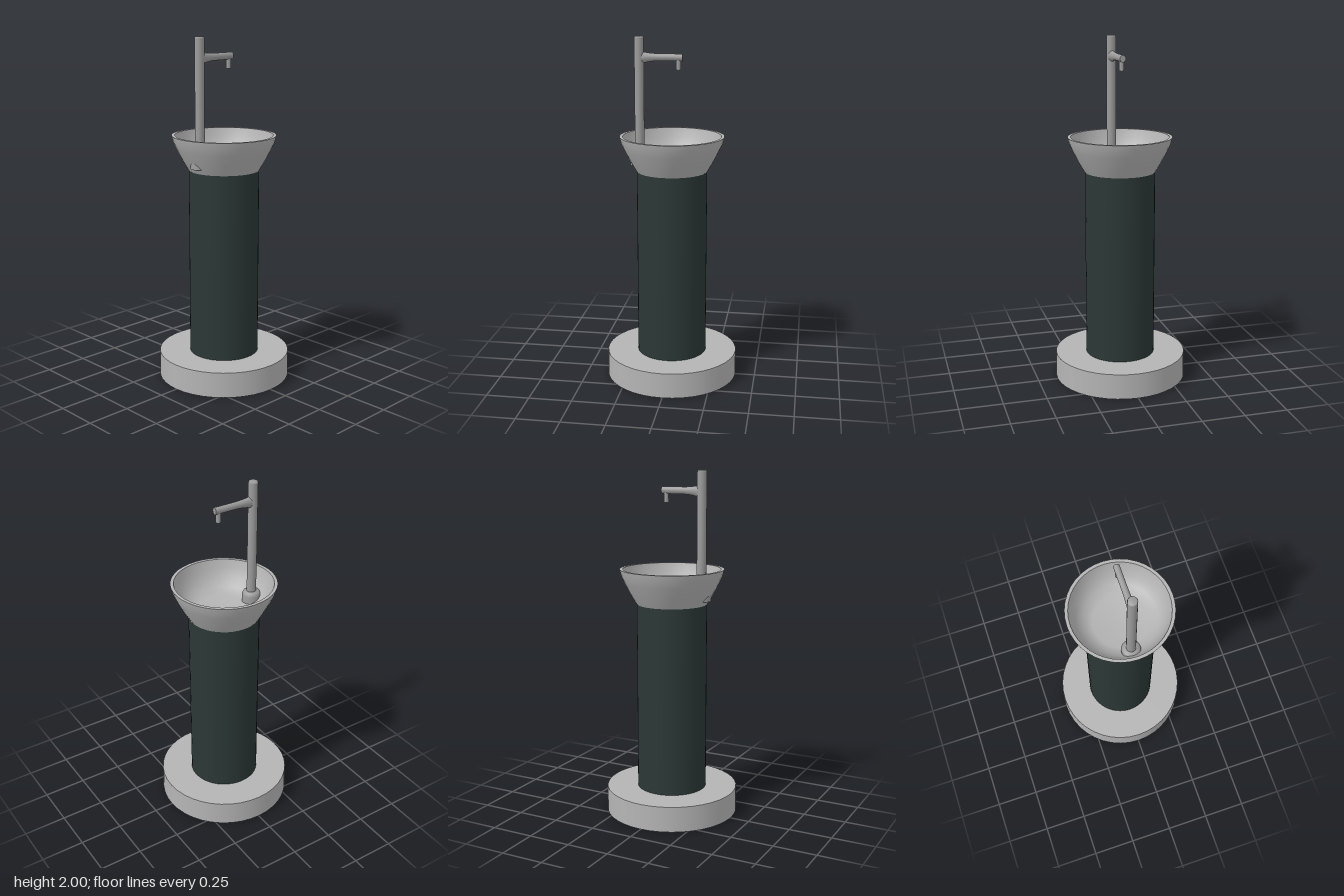
import * as THREE from 'three';

const mat = (name, color) => new THREE.MeshStandardMaterial({ name, color });

export function createModel() {
  const group = new THREE.Group();
  group.name = 'pedestalBasin';
  const stone = mat('pale grey stone', 0xb4b4b4);
  const green = mat('dark green', 0x2b3836);
  const metal = mat('grey metal', 0x9c9c9c);

  const add = (name, geometry, material, x = 0, y = 0, z = 0) => {
    const mesh = new THREE.Mesh(geometry, material);
    mesh.name = name;
    mesh.position.set(x, y, z);
    group.add(mesh);
    return mesh;
  };
  const lathe = (pts, segments) =>
    new THREE.LatheGeometry(pts.map(([r, y]) => new THREE.Vector2(r, y)), segments);

  // Base disc and column
  add('base', new THREE.CylinderGeometry(0.383, 0.385, 0.148, 40), stone, 0, 0.074);
  add('column', new THREE.CylinderGeometry(0.202, 0.202, 1.1, 40), green, 0, 0.695);

  // Basin: outer wall, flat rim, hollow interior
  add('basinOuter', lathe([[0, 1.242], [0.205, 1.242]], 40), stone).material.side = THREE.DoubleSide;
  add('basinWall', lathe([[0.205, 1.242], [0.239, 1.3], [0.272, 1.365], [0.29, 1.405], [0.3, 1.442]], 40), stone);
  add('basinRim', lathe([[0.3, 1.442], [0.281, 1.442]], 40), stone);
  add('basinInterior', lathe([[0.281, 1.442], [0.268, 1.395], [0.245, 1.345], [0.21, 1.3], [0.155, 1.272], [0, 1.268]], 40), stone);

  // Tap: collar, post, arm and nozzle
  const tapX = -0.187;
  add('tapCollar', lathe([[0.054, 1.27], [0.054, 1.315], [0.046, 1.332], [0.026, 1.337]], 24), metal, tapX);
  add('tapPost', lathe([[0.027, 1.27], [0.027, 1.99], [0.024, 2], [0, 2]], 24), metal, tapX);

  // Arm: a round bar stretched and lowered toward the post
  const arm = new THREE.CylinderGeometry(0.017, 0.017, 0.247, 20, 16);
  arm.rotateZ(-Math.PI / 2);
  const p = arm.attributes.position;
  for (let i = 0; i < p.count; i++) {
    const t = Math.max(0, 1 - (p.getX(i) + 0.1235) / 0.12);
    const flare = t * t;
    p.setY(i, p.getY(i) * (1.2 + 1.0 * flare) - 0.004 * flare);
    p.setZ(i, p.getZ(i) * (1 + 0.4 * flare));
  }
  arm.computeVertexNormals();
  add('tapArm', arm, metal, -0.0635, 1.885);
  add('tapNozzle', new THREE.CylinderGeometry(0.014, 0.014, 0.07, 20), metal, 0.036, 1.851);

  return group;
}
